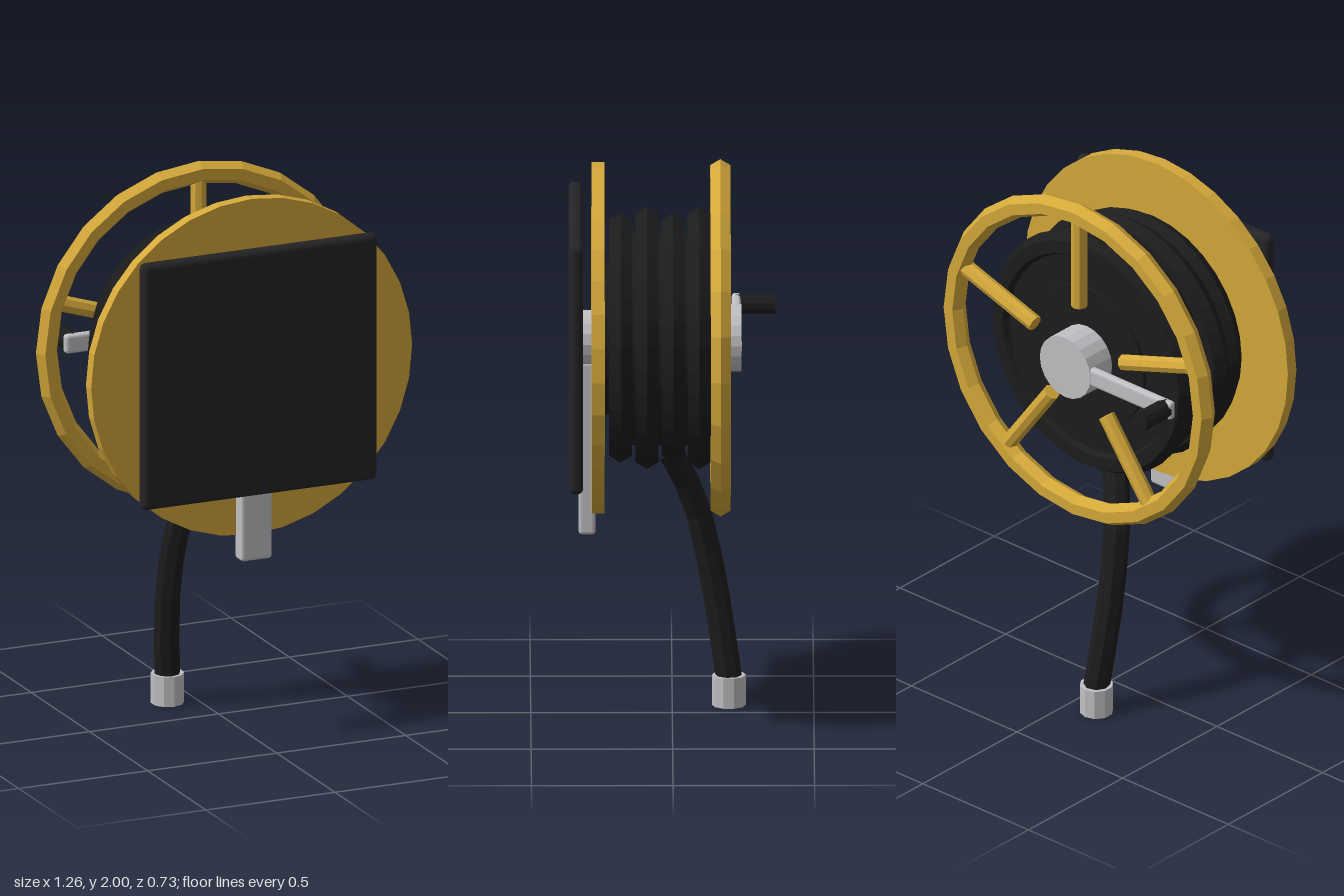
import * as THREE from 'three';
import { RoundedBoxGeometry } from 'three/addons/geometries/RoundedBoxGeometry.js';

const AXIS_Y = 1.37; // height of the reel axle

export function createModel() {
  const model = new THREE.Group();
  model.name = 'hoseReel';

  const paint = (name, color) => {
    const m = new THREE.MeshStandardMaterial({ color, flatShading: true });
    m.name = name;
    return m;
  };
  const gold = paint('gold paint', 0xd4a83a);
  const rubber = paint('black rubber', 0x1c1c1c);
  const plateBlack = paint('black plate', 0x242426);
  const steel = paint('light steel', 0xc0c0c4);

  const add = (name, geometry, material, x = 0, y = 0, z = 0, parent = model) => {
    const mesh = new THREE.Mesh(geometry, material);
    mesh.name = name;
    mesh.position.set(x, y, z);
    parent.add(mesh);
    return mesh;
  };

  // Everything that turns about the axle, which runs along z
  const reel = new THREE.Group();
  reel.name = 'reel';
  reel.position.y = AXIS_Y;
  model.add(reel);
  const disc = (name, r, z0, z1, sides, material, x = 0) => add(name,
    new THREE.CylinderGeometry(r, r, z1 - z0, sides).rotateX(Math.PI / 2),
    material, x, 0, (z0 + z1) / 2, reel);

  disc('frontFlange', 0.622, 0.24, 0.285, 32, gold);
  disc('drum', 0.27, -0.13, 0.24, 24, rubber);
  disc('innerCoils', 0.38, -0.115, 0.21, 32, rubber);
  disc('frontHub', 0.1, 0.28, 0.318, 16, steel);
  disc('backHub', 0.12, -0.245, -0.13, 20, steel);

  // Wound hose, alternating in radius
  [0.183, 0.09, -0.003, -0.095].forEach((z, i) =>
    add('hoseCoil', new THREE.TorusGeometry(i % 2 ? 0.417 : 0.394, 0.047, 6, 32), rubber, 0, 0, z, reel));

  // Open back rim and its spokes
  add('backRim', new THREE.TorusGeometry(0.59, 0.041, 6, 24), gold, 0, 0, -0.17, reel);
  for (let i = 0; i < 5; i++) {
    const spoke = new THREE.CylinderGeometry(0.03, 0.03, 0.36, 8);
    spoke.translate(0, 0.4, 0).rotateZ(i * Math.PI * 2 / 5);
    add('spoke', spoke, gold, 0, 0, -0.17, reel);
  }

  // Crank
  add('crankArm', new RoundedBoxGeometry(0.42, 0.07, 0.032, 2, 0.012), steel, -0.285, 0, -0.227, reel);
  disc('crankHandle', 0.036, -0.366, -0.225, 10, rubber, -0.46);

  // Mounting plate and bracket
  add('mountingPlate', new RoundedBoxGeometry(0.912, 0.912, 0.05, 3, 0.022), plateBlack, 0, AXIS_Y, 0.341);
  add('bracket', new RoundedBoxGeometry(0.12, 0.63, 0.06, 2, 0.012), steel, 0, 0.98, 0.301);

  // Loose hose end with nozzle
  const path = new THREE.CatmullRomCurve3([
    new THREE.Vector3(0, 0.96, 0.01),
    new THREE.Vector3(-0.1, 0.75, -0.08),
    new THREE.Vector3(-0.128, 0.43, -0.15),
    new THREE.Vector3(-0.108, 0.1, -0.2),
  ]);
  add('looseHose', new THREE.TubeGeometry(path, 6, 0.047, 8), rubber);
  add('nozzle', new THREE.CylinderGeometry(0.06, 0.06, 0.11, 10), steel, -0.108, 0.055, -0.2);

  return model;
}
